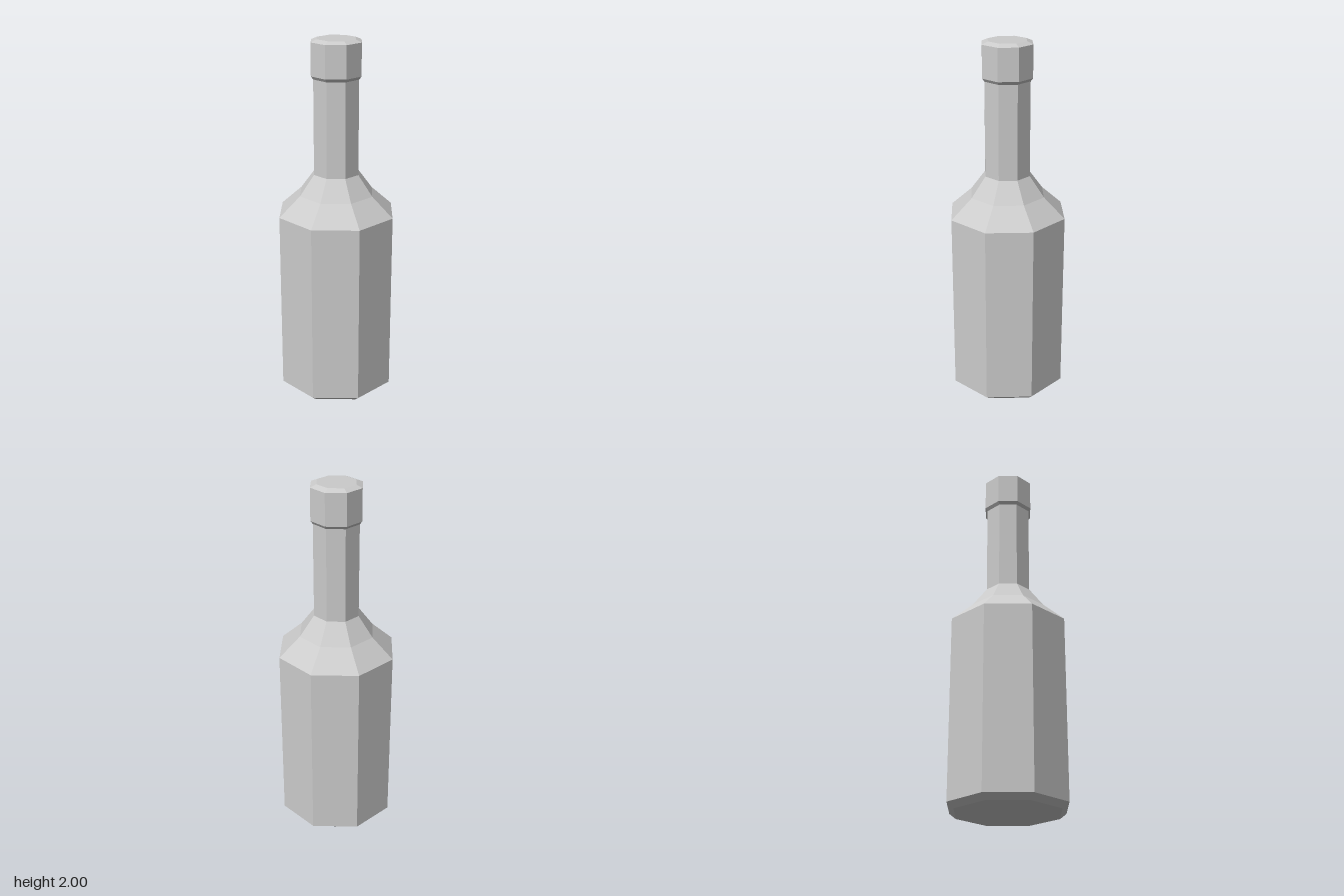
import * as THREE from 'three';

const SIDES = 8;

// Octagonal turned part from [radius, height] pairs, listed bottom to top
function turned(name, profile, material) {
  const points = profile.map(([r, y]) => new THREE.Vector2(r, y));
  const mesh = new THREE.Mesh(new THREE.LatheGeometry(points, SIDES), material);
  mesh.name = name;
  return mesh;
}

export function createModel() {
  const group = new THREE.Group();
  group.name = 'bottle';
  const material = new THREE.MeshStandardMaterial({ color: 0xcccccc, flatShading: true });

  // Closed base with a bevelled foot and straight walls
  group.add(turned('body', [[0, 0], [0.295, 0], [0.333, 0.03], [0.333, 1.048]], material));

  // Two-step shoulder narrowing to the neck
  group.add(turned('shoulder', [[0.333, 1.048], [0.213, 1.157], [0.13, 1.27]], material));

  // Slim straight neck
  group.add(turned('neck', [[0.13, 1.27], [0.13, 1.793]], material));

  // Wider cap with bevelled edges and a flat closed top
  group.add(turned('cap', [[0.13, 1.793], [0.143, 1.81], [0.143, 1.986], [0.109, 2], [0, 2]], material));

  return group;
}
